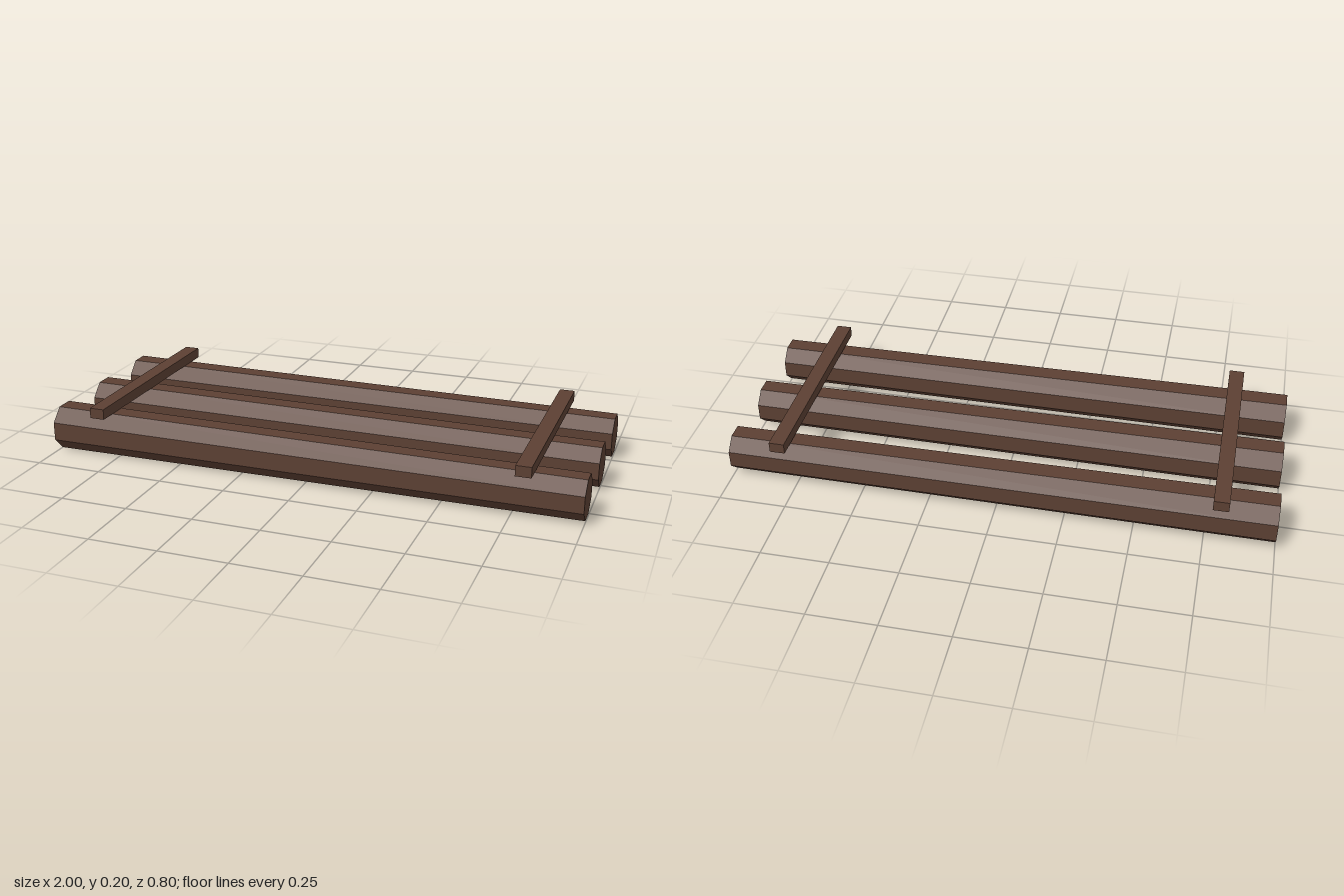
import * as THREE from 'three';

export function createModel() {
  const group = new THREE.Group();
  const wood = new THREE.MeshStandardMaterial({ color: 0x5c4033, flatShading: true });
  wood.name = 'darkWood';

  // Three octagonal logs lying along x, slightly thinner at the +x end
  const logGeometry = new THREE.CylinderGeometry(0.081, 0.0895, 2, 8);
  logGeometry.rotateY(Math.PI / 8).rotateZ(-Math.PI / 2);
  for (const [name, z] of [['frontLog', 0.3], ['middleLog', 0], ['backLog', -0.3]]) {
    const log = new THREE.Mesh(logGeometry, wood);
    log.name = name;
    log.position.set(0, 0.0827, z);
    group.add(log);
  }

  // Two cross bars resting on the logs
  const barGeometry = new THREE.BoxGeometry(0.056, 0.039, 0.8);
  for (const [name, x] of [['leftCrossBar', 0.796], ['rightCrossBar', -0.8]]) {
    const bar = new THREE.Mesh(barGeometry, wood);
    bar.name = name;
    bar.position.set(x, 0.1845, 0);
    group.add(bar);
  }
  return group;
}
